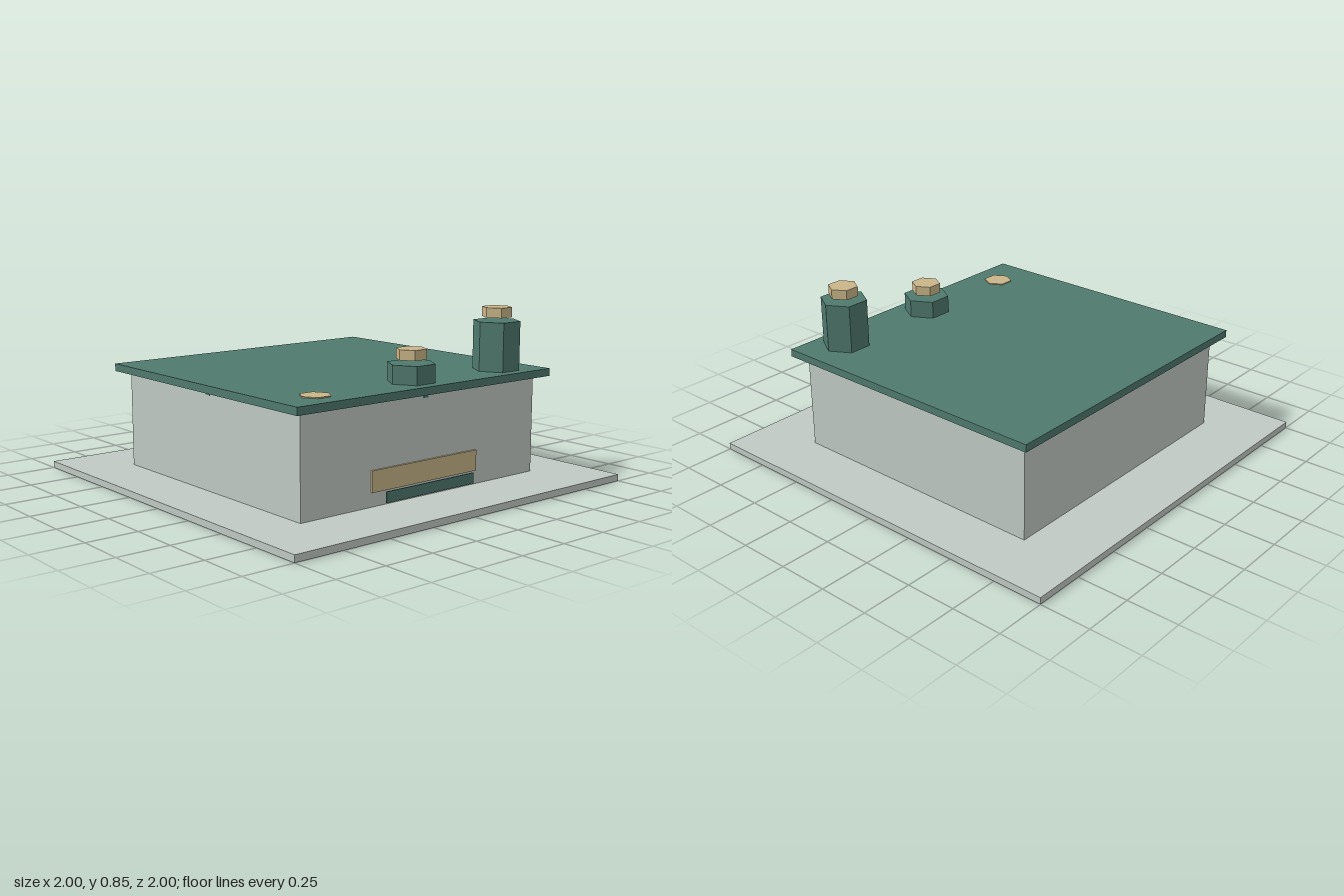
import * as THREE from 'three';

export function createModel() {
  const model = new THREE.Group();
  model.name = 'plinthBox';

  const stone = new THREE.MeshStandardMaterial({ color: 0xc0c9c3 });
  stone.name = 'pale grey';
  const green = new THREE.MeshStandardMaterial({ color: 0x4f796e });
  green.name = 'deep green';
  const gold = new THREE.MeshStandardMaterial({ color: 0xc9b588 });
  gold.name = 'sand gold';

  const add = (name, geometry, material, x, y, z, parent = model) => {
    const mesh = new THREE.Mesh(geometry, material);
    mesh.name = name;
    mesh.position.set(x, y, z);
    parent.add(mesh);
    return mesh;
  };
  // Box given by its width, depth and vertical extent
  const box = (name, material, w, d, y0, y1, x = 0, z = 0) =>
    add(name, new THREE.BoxGeometry(w, y1 - y0, d), material, x, (y0 + y1) / 2, z);
  // Hexagonal prism with corners pointing along x
  const hex = (name, material, r, y0, y1, parent) => {
    const geometry = new THREE.CylinderGeometry(r, r, y1 - y0, 6).toNonIndexed();
    geometry.rotateY(Math.PI / 6);
    geometry.computeVertexNormals();
    add(name, geometry, material, 0, (y0 + y1) / 2, 0, parent);
  };

  // Base, body and overhanging lid
  box('base', stone, 2, 2, 0, 0.033);
  box('body', stone, 1.44, 1.36, 0.033, 0.51);
  box('lid', green, 1.556, 1.47, 0.51, 0.547);

  // Front plates
  box('frontPlate', gold, 0.65, 0.01, 0.1, 0.2, 0, 0.685);
  box('lowerPlate', green, 0.545, 0.006, 0.053, 0.104, 0, 0.722);

  // Small tabs under the lid, in the middle of each side
  for (const s of [-1, 1]) {
    box('endTab', green, 0.03, 0.004, 0.487, 0.51, 0, s * 0.681);
    box('sideTab', green, 0.004, 0.03, 0.487, 0.51, s * 0.721, 0);
  }

  // Three hexagonal posts, rising from flush to tall, with floating caps
  [0, 0.087, 0.237].forEach((height, i) => {
    const post = new THREE.Group();
    post.name = ['flushPost', 'shortPost', 'tallPost'][i];
    post.position.set((i - 1) * 0.56, 0.547, 0.582);
    model.add(post);
    if (height) hex('postBody', green, 0.115, 0, height, post);
    const top = [0.005, 0.153, 0.303][i];
    hex('postCap', gold, 0.073, top - 0.048, top, post);
  });

  return model;
}
